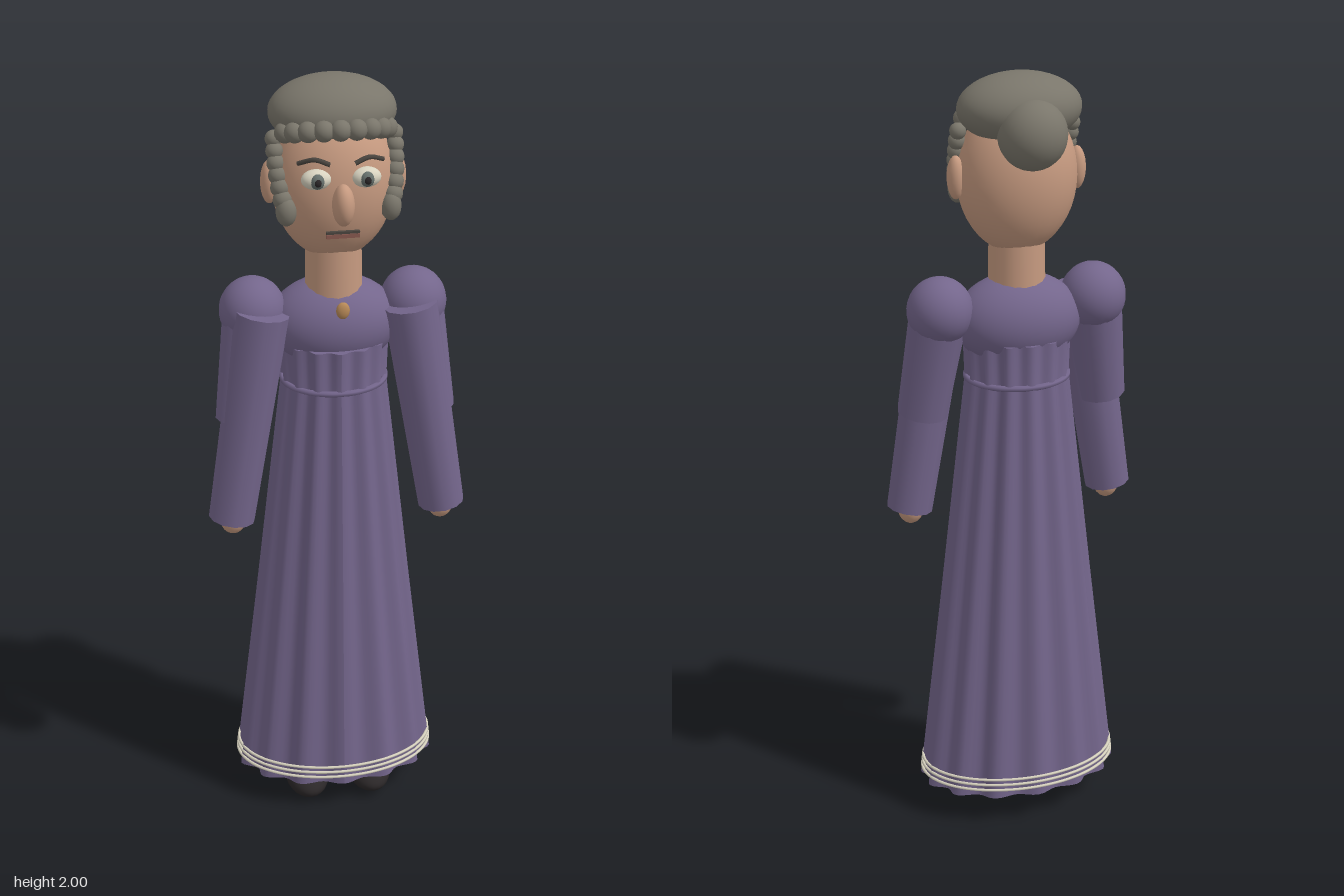
import * as THREE from 'three';

const mat = (name, color, side = THREE.FrontSide) => {
  const m = new THREE.MeshStandardMaterial({ color, side });
  m.name = name;
  return m;
};

export function createModel() {
  const dress = mat('purple cloth', 0x74668c);
  const skin = mat('skin', 0xc69a80);
  const hair = mat('grey hair', 0x7a766b);
  const brow = mat('dark brow', 0x4a453f);
  const cream = mat('cream', 0xd8d3c0);
  const iris = mat('iris', 0x66706c);
  const black = mat('shoe black', 0x2b2728);
  const lip = mat('lip', 0x8a5a50);
  const gold = mat('brooch gold', 0xb98a58);

  const model = new THREE.Group();
  model.name = 'lady';

  const add = (name, geo, material) => {
    const m = new THREE.Mesh(geo, material);
    m.name = name;
    model.add(m);
    return m;
  };
  const ball = (name, material, p, r, seg = 24) => {
    const m = add(name, new THREE.SphereGeometry(1, seg, Math.round(seg * 0.7)), material);
    m.position.set(...p);
    m.scale.set(...r);
    return m;
  };
  // tapered cylinder between two points
  const limb = (name, material, a, b, ra, rb, seg = 16) => {
    const A = new THREE.Vector3(...a), B = new THREE.Vector3(...b);
    const m = add(name, new THREE.CylinderGeometry(ra, rb, A.distanceTo(B), seg), material);
    m.position.copy(A).add(B).multiplyScalar(0.5);
    m.quaternion.setFromUnitVectors(new THREE.Vector3(0, 1, 0), A.sub(B).normalize());
    return m;
  };
  // horizontal oval cord
  const cord = (name, material, y, rx, rz, r) => {
    const pts = [];
    for (let i = 0; i < 40; i++) {
      const t = (i / 40) * Math.PI * 2;
      pts.push(new THREE.Vector3(rx * Math.sin(t), y, 0.005 + rz * Math.cos(t)));
    }
    const curve = new THREE.CatmullRomCurve3(pts, true);
    return add(name, new THREE.TubeGeometry(curve, 80, r, 6, true), material);
  };

  // pleated skirt: oval sections with a wavy outline, closed at both ends
  const pleats = 14, n = pleats * 8;
  const rows = [ // y, rx, rz
    [0.08, 0, 0], [0.08, 0.27, 0.183], [0.08, 0.27, 0.183], [0.65, 0.201, 0.156],
    [1.22, 0.135, 0.123], [1.33, 0.139, 0.125], [1.33, 0.139, 0.125], [1.33, 0, 0],
  ];
  const pos = [], index = [];
  rows.forEach(([y, rx, rz]) => {
    for (let i = 0; i <= n; i++) {
      const t = (i / n) * Math.PI * 2;
      const k = 0.955 + 0.045 * Math.cos(t * pleats);
      pos.push(rx * k * Math.sin(t), y, 0.005 + rz * k * Math.cos(t));
    }
  });
  for (let j = 0; j < rows.length - 1; j++) {
    if (j === 1 || j === 5) continue; // hard rim
    for (let i = 0; i < n; i++) {
      const a = j * (n + 1) + i, b = a + n + 1;
      index.push(a, a + 1, b, a + 1, b + 1, b);
    }
  }
  const skirt = new THREE.BufferGeometry();
  skirt.setAttribute('position', new THREE.Float32BufferAttribute(pos, 3));
  skirt.setIndex(index);
  skirt.computeVertexNormals();
  add('skirt', skirt, dress);

  // bodice, waist cord and hem trim
  ball('bodice', dress, [0, 1.37, 0], [0.165, 0.12, 0.117], 32);
  cord('waistCord', dress, 1.22, 0.131, 0.119, 0.008);
  [0.105, 0.12, 0.135].forEach((y) => cord('hemTrim', cream, y, 0.269 - (y - 0.08) * 0.12, 0.184 - (y - 0.08) * 0.05, 0.004));

  // neck, head, nose, mouth, brooch
  limb('neck', skin, [0, 1.6, 0.006], [0, 1.44, 0.006], 0.07, 0.073, 16);
  ball('head', skin, [0, 1.74, 0.003], [0.152, 0.195, 0.128], 32);
  ball('nose', skin, [0, 1.728, 0.148], [0.027, 0.052, 0.036]);
  const mouth = (name, y, h, m) => {
    add(name, new THREE.BoxGeometry(0.082, h, 0.009), m).position.set(0, y, 0.143);
  };
  mouth('upperLip', 1.658, 0.006, brow);
  mouth('lowerLip', 1.649, 0.01, lip);
  ball('brooch', gold, [0, 1.455, 0.145], [0.017, 0.022, 0.01], 16);

  // hair cap, bun and fringe curls
  ball('hairCap', hair, [0, 1.913, -0.015], [0.157, 0.087, 0.121], 32);
  ball('bun', hair, [0, 1.866, -0.113], [0.086, 0.087, 0.082]);
  for (let i = -4; i <= 4; i++) {
    const t = i * 0.3;
    ball('fringeCurl', hair, [0.133 * Math.sin(t), 1.9 - 0.03 * (1 - Math.cos(t)), 0.102 * Math.cos(t) + 0.006], [0.026, 0.026, 0.026], 14);
  }

  for (const s of [-1, 1]) {
    // eyes and brows
    ball('eyeWhite', cream, [s * 0.06, 1.785, 0.116], [0.037, 0.025, 0.026], 20);
    ball('iris', iris, [s * 0.06, 1.785, 0.132], [0.018, 0.019, 0.016], 16);
    ball('pupil', black, [s * 0.06, 1.785, 0.144], [0.009, 0.01, 0.007], 12);
    const arch = new THREE.CatmullRomCurve3([
      new THREE.Vector3(s * 0.03, 1.826, 0.134),
      new THREE.Vector3(s * 0.065, 1.838, 0.128),
      new THREE.Vector3(s * 0.103, 1.824, 0.106),
    ]);
    add('brow', new THREE.TubeGeometry(arch, 12, 0.006, 6), brow);

    // ears and side curls
    ball('ear', skin, [s * 0.158, 1.746, 0.004], [0.022, 0.055, 0.026], 16);
    for (let i = 0; i < 7; i++) {
      const t = i / 6, r = 0.021 + 0.005 * t;
      ball('sideCurl', hair, [s * (0.148 - 0.02 * t * t), 1.858 - 0.162 * t, 0.015 + 0.068 * t], [r, r * (i === 6 ? 1.4 : 1), r], 14);
    }

    // arms
    ball('sleevePuff', dress, [s * 0.204, 1.411, 0], [0.084, 0.086, 0.086]);
    limb('upperSleeve', dress, [s * 0.205, 1.41, 0.005], [s * 0.243, 1.13, 0.04], 0.075, 0.065, 12);
    limb('sleeve', dress, [s * 0.186, 1.425, 0.052], [s * 0.275, 0.862, 0.063], 0.07, 0.06, 12);
    ball('hand', skin, [s * 0.272, 0.862, 0.063], [0.035, 0.044, 0.035], 16);

    // shoes
    ball('shoe', black, [s * 0.086, 0.04, 0.07], [0.058, 0.04, 0.095]);
  }
  return model;
}
